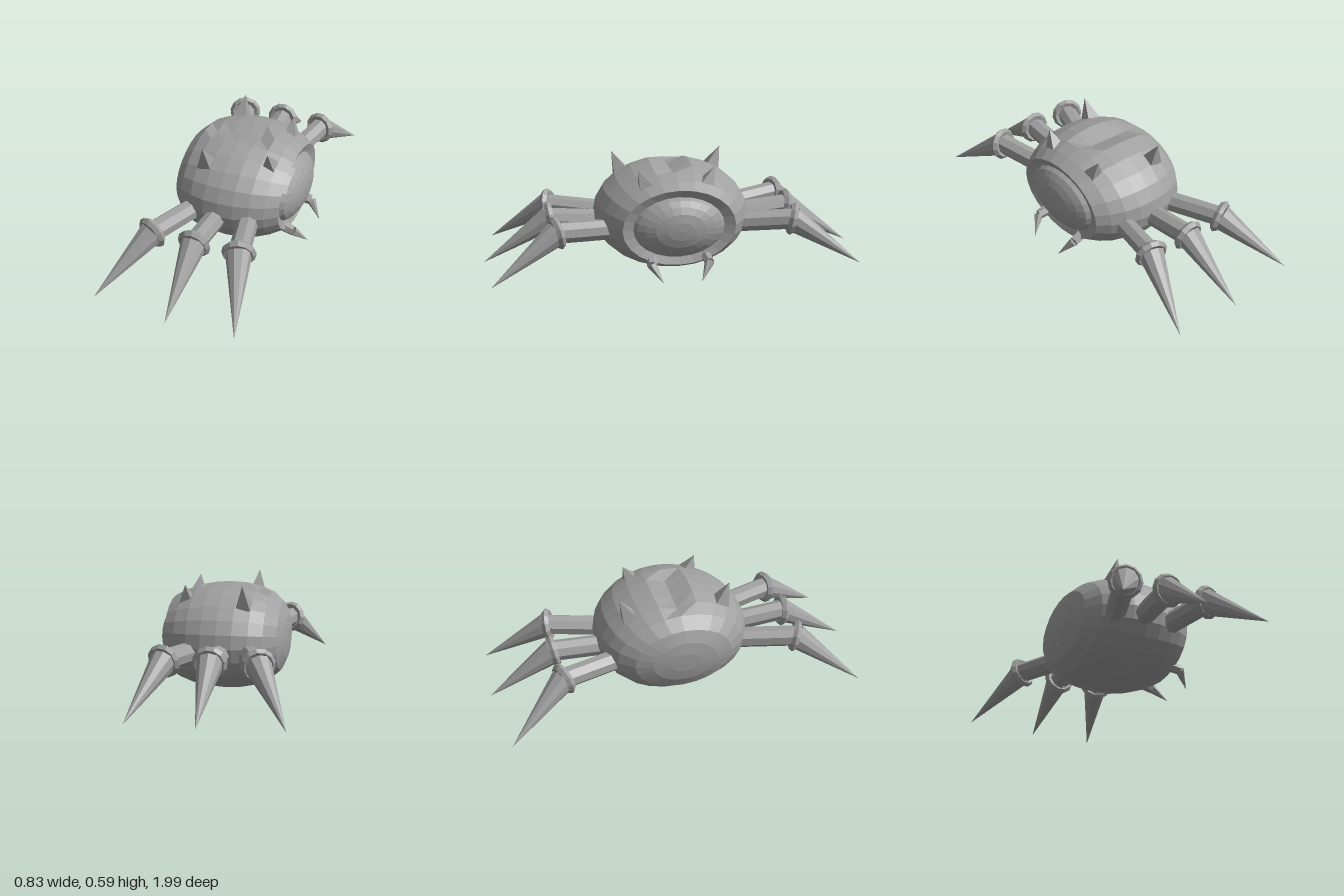
import * as THREE from 'three';

const shell = new THREE.MeshStandardMaterial({ color: 0xa0a0a0, flatShading: true });
shell.name = 'grey shell';

const CENTRE_Y = 0.28, SIDES = 24;
const V = (x, y, z) => new THREE.Vector3(x, y, z);

function part(name, geometry, parent) {
  const mesh = new THREE.Mesh(geometry, shell);
  mesh.name = name;
  parent.add(mesh);
  return mesh;
}

// Skin elliptical cross-sections along x; each profile entry is [x, scale, grooveDepth]
function loft(profile) {
  const pos = [], index = [];
  for (const [x, r, groove = 0] of profile) {
    for (let j = 0; j < SIDES; j++) {
      const a = (j / SIDES) * Math.PI * 2;
      const s = Math.sin(a);
      let y = CENTRE_Y + s * r * (s > 0 ? 0.28 : 0.277);
      if (j === SIDES / 4) y -= groove;
      pos.push(x, y, Math.cos(a) * r * 0.41);
    }
  }
  for (let i = 0; i < profile.length - 1; i++) {
    for (let j = 0; j < SIDES; j++) {
      const k = (j + 1) % SIDES;
      const a = i * SIDES + j, b = a + SIDES, c = i * SIDES + k, d = c + SIDES;
      index.push(a, b, c, b, d, c);
    }
  }
  const g = new THREE.BufferGeometry();
  g.setAttribute('position', new THREE.Float32BufferAttribute(pos, 3));
  g.setIndex(index);
  g.computeVertexNormals();
  return g;
}

// Tapered rod from one point to another
function rod(name, from, to, r0, r1, sides, parent, spin = 0) {
  const dir = to.clone().sub(from);
  const g = new THREE.CylinderGeometry(r1, r0, dir.length(), sides);
  g.rotateY(spin);
  const mesh = part(name, g, parent);
  mesh.position.copy(from).add(to).multiplyScalar(0.5);
  mesh.quaternion.setFromUnitVectors(V(0, 1, 0), dir.normalize());
  return mesh;
}

function leg(side, hip, knee, tip, parent) {
  const group = new THREE.Group();
  group.name = 'leg';
  const flip = (p) => V(p[0], p[1], p[2] * side);
  const h = flip(hip), k = flip(knee), t = flip(tip);
  rod('upperLeg', h, k, 0.055, 0.055, 8, group);
  rod('clawSpike', k, t, 0.068, 0, 10, group);
  // Collar around the knee, tilted between the two segments
  const collar = part('kneeCollar', new THREE.TorusGeometry(0.067, 0.021, 5, 12), group);
  const axis = k.clone().sub(h).normalize().multiplyScalar(1.5).add(t.clone().sub(k).normalize());
  collar.position.copy(k);
  collar.quaternion.setFromUnitVectors(V(0, 0, 1), axis.normalize());
  parent.add(group);
}

export function createModel() {
  const model = new THREE.Group();
  model.name = 'spikedCrawler';

  // Rounded shell with a shallow groove along the back
  part('bodyShell', loft([
    [-0.31, 0], [-0.308, 0.2], [-0.297, 0.42], [-0.27, 0.64], [-0.21, 0.83],
    [-0.14, 0.93, 0.03], [-0.06, 0.985, 0.045], [0.02, 1, 0.045], [0.1, 0.985, 0.04],
    [0.18, 0.93], [0.25, 0.84], [0.312, 0.72],
  ]), model);

  // Face: recessed rim and low dome
  part('faceRim', loft([[0.312, 0.72], [0.295, 0.58]]), model);
  part('faceDome', loft([
    [0.295, 0.58], [0.318, 0.54], [0.34, 0.44], [0.358, 0.32], [0.369, 0.17], [0.373, 0],
  ]), model);

  for (const side of [1, -1]) {
    // Three legs on each side
    leg(side, [-0.11, 0.24, 0.25], [-0.235, 0.265, 0.63], [-0.415, 0.035, 0.945], model);
    leg(side, [0.005, 0.24, 0.3], [-0.002, 0.268, 0.637], [-0.005, 0.04, 0.995], model);
    leg(side, [0.145, 0.24, 0.25], [0.23, 0.265, 0.62], [0.345, 0.035, 0.967], model);

    // Back spikes
    rod('backSpike', V(-0.1, 0.475, 0.247 * side), V(-0.1, 0.59, 0.295 * side),
      0.055, 0, 4, model, Math.PI / 4);
    rod('backSpike', V(0.215, 0.485, 0.16 * side), V(0.215, 0.573, 0.2 * side),
      0.05, 0, 4, model, Math.PI / 4);

    // Bent fangs below the face
    const fang = new THREE.Group();
    fang.name = 'fang';
    const bend = V(0.345, 0.1, 0.15 * side);
    rod('fangBase', V(0.27, 0.118, 0.14 * side), bend, 0.032, 0.026, 6, fang);
    rod('fangTip', bend, V(0.413, 0.02, 0.098 * side), 0.026, 0, 6, fang);
    model.add(fang);
  }
  return model;
}
